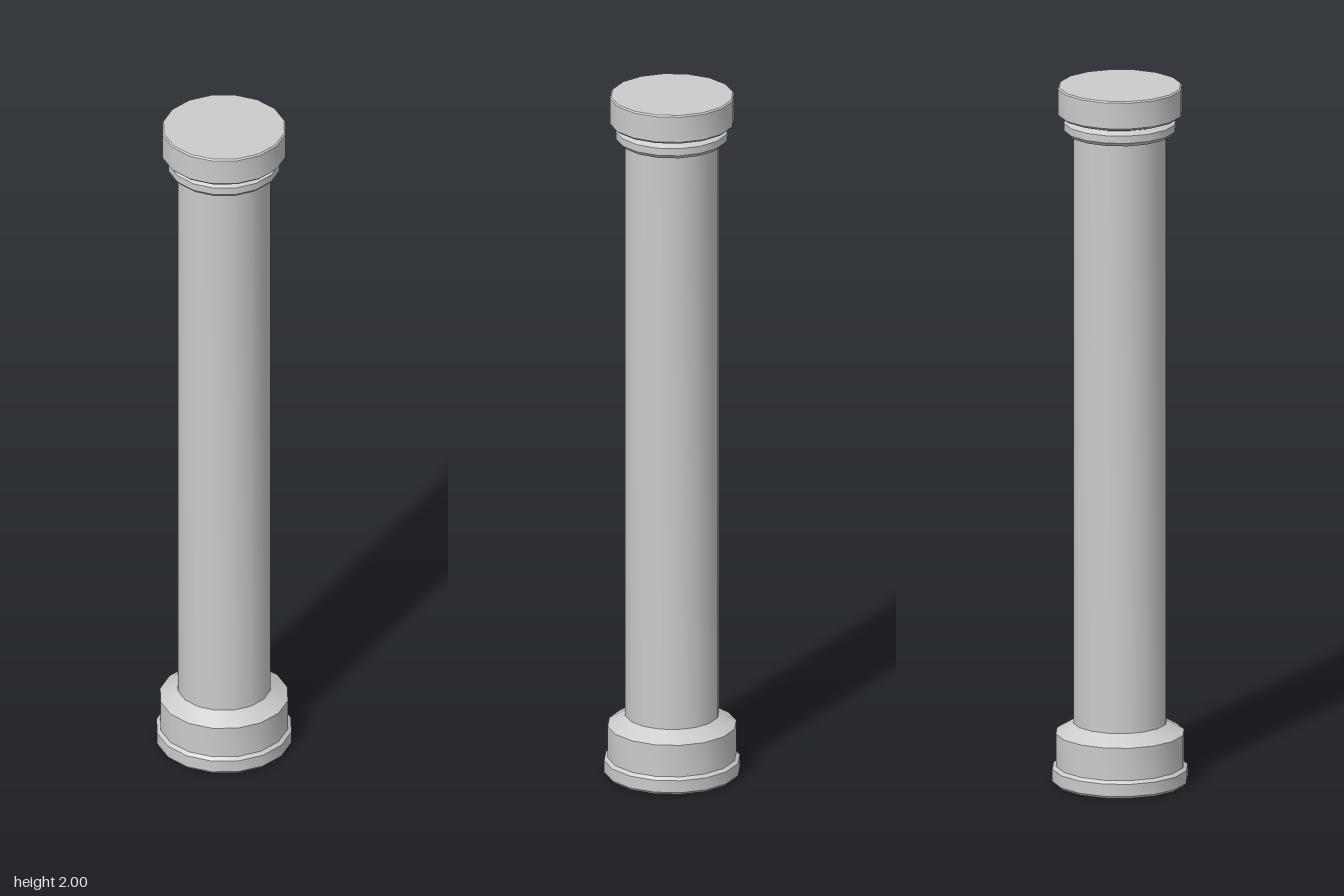
import * as THREE from 'three';
import { toCreasedNormals } from 'three/addons/utils/BufferGeometryUtils.js';

const SIDES = 16;
const material = new THREE.MeshStandardMaterial({ color: 0xcccccc });

// Turned part from a [radius, height] profile, listed bottom to top
function turned(name, profile) {
  const points = profile.map(([r, y]) => new THREE.Vector2(r, y));
  const geometry = toCreasedNormals(new THREE.LatheGeometry(points, SIDES), 0.6);
  const mesh = new THREE.Mesh(geometry, material);
  mesh.name = name;
  return mesh;
}

export function createModel() {
  const column = new THREE.Group();
  column.name = 'column';
  column.add(
    // Bottom disc with softened rims
    turned('plinth', [[0, 0], [0.185, 0], [0.19, 0.007], [0.19, 0.042], [0.18, 0.05]]),
    // Drum with a sloped shoulder up to the shaft
    turned('base', [[0.18, 0.05], [0.18, 0.143], [0.131, 0.172]]),
    turned('shaft', [[0.131, 0.172], [0.131, 1.865]]),
    // Bevelled ring and the groove above it
    turned('collar', [[0.131, 1.865], [0.147, 1.865], [0.157, 1.876], [0.157, 1.897], [0.14, 1.907]]),
    // Top disc
    turned('capital', [[0.14, 1.907], [0.168, 1.916], [0.174, 1.922], [0.174, 1.996], [0.17, 2], [0, 2]])
  );
  return column;
}
